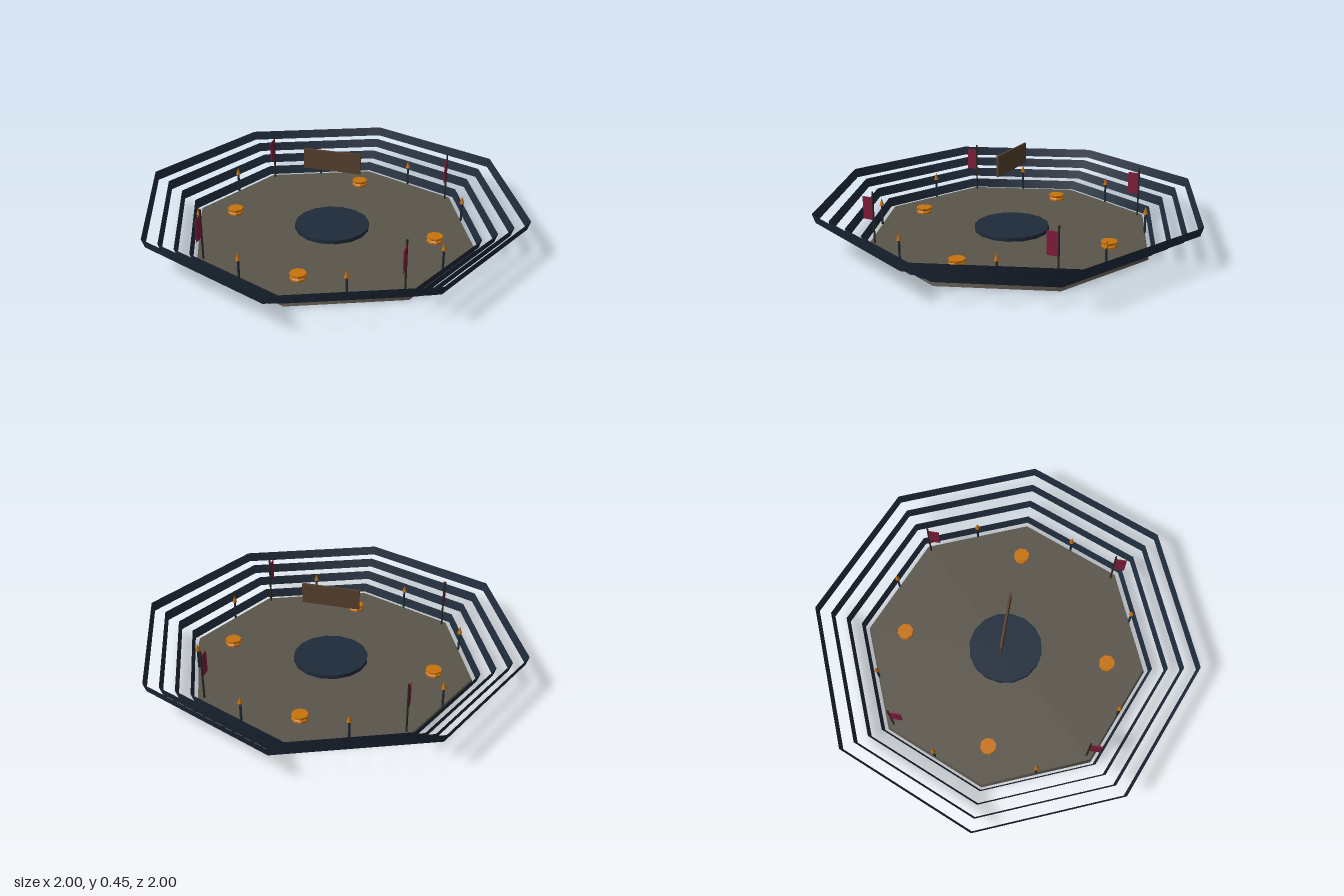
import * as THREE from 'three';

const material = (name, color, side = THREE.FrontSide) => {
  const m = new THREE.MeshStandardMaterial({ color, side });
  m.name = name;
  return m;
};

export function createModel() {
  const arena = new THREE.Group();
  arena.name = 'arena';

  const stone = material('stone', 0x5a554b);
  const navy = material('navy', 0x1f2b3b, THREE.DoubleSide);
  const amber = material('amber', 0xc8720c);
  const crimson = material('crimson', 0x7f1d3a);
  const wood = material('wood', 0x57412f);
  const iron = material('iron', 0x2c2826);

  const add = (parent, name, geometry, mat, x = 0, y = 0, z = 0) => {
    const mesh = new THREE.Mesh(geometry, mat);
    mesh.name = name;
    mesh.position.set(x, y, z);
    parent.add(mesh);
    return mesh;
  };
  const group = (name, x, z) => {
    const g = new THREE.Group();
    g.name = name;
    g.position.set(x, 0, z);
    arena.add(g);
    return g;
  };

  // Octagonal floor with a raised disc in the middle
  const floorTop = 0.03;
  add(arena, 'floor', new THREE.CylinderGeometry(0.735, 0.743, floorTop, 8), stone, 0, floorTop / 2, 0);
  add(arena, 'centreDisc', new THREE.CylinderGeometry(0.193, 0.193, 0.02, 16), navy, 0, 0.04, 0);

  // Four open, flaring tiers, each wider and higher than the last
  const tierHeight = 0.046;
  for (let i = 0; i < 4; i++) {
    const r = 0.775 + i * 0.075;
    add(arena, 'tier' + (i + 1), new THREE.CylinderGeometry(r, r - 0.015, tierHeight, 8, 1, true),
      navy, 0, 0.026 + (i + 0.5) * tierHeight, 0);
  }

  // Spool-shaped braziers on the axes
  const profile = [[0, 0.001], [0.041, 0.001], [0.041, 0.038], [0.033, 0.046], [0.042, 0.053], [0.042, 0.06], [0, 0.06]]
    .map(([r, y]) => new THREE.Vector2(r, y));
  const brazierGeometry = new THREE.LatheGeometry(profile, 8).toNonIndexed();
  brazierGeometry.computeVertexNormals();
  brazierGeometry.rotateY(Math.PI / 8);
  for (let i = 0; i < 4; i++) {
    const a = i * Math.PI / 2;
    add(arena, 'brazier', brazierGeometry, amber, 0.54 * Math.sin(a), 0, 0.54 * Math.cos(a));
  }

  // Torches at the middle of every floor edge
  const torchPole = new THREE.CylinderGeometry(0.006, 0.006, 0.105, 6);
  const flame = new THREE.ConeGeometry(0.013, 0.04, 6);
  for (let i = 0; i < 8; i++) {
    const a = (i + 0.5) * Math.PI / 4;
    const torch = group('torch', 0.68 * Math.sin(a), 0.68 * Math.cos(a));
    add(torch, 'torchPole', torchPole, navy, 0, 0.0825, 0);
    add(torch, 'flame', flame, amber, 0, 0.152, 0);
  }

  // Banners near the diagonal corners, all flying towards the front
  const bannerPole = new THREE.CylinderGeometry(0.005, 0.005, 0.27, 6);
  const cloth = new THREE.BoxGeometry(0.005, 0.115, 0.058);
  for (const x of [-0.5, 0.5]) {
    for (const z of [-0.5, 0.5]) {
      const banner = group('banner', x, z);
      add(banner, 'bannerPole', bannerPole, iron, 0, 0.16, 0);
      add(banner, 'bannerCloth', cloth, crimson, 0, 0.207, 0.03);
    }
  }

  // Board hanging above the centre
  add(arena, 'hangingBoard', new THREE.BoxGeometry(0.295, 0.105, 0.01), wood, 0, 0.4, 0);

  return arena;
}
